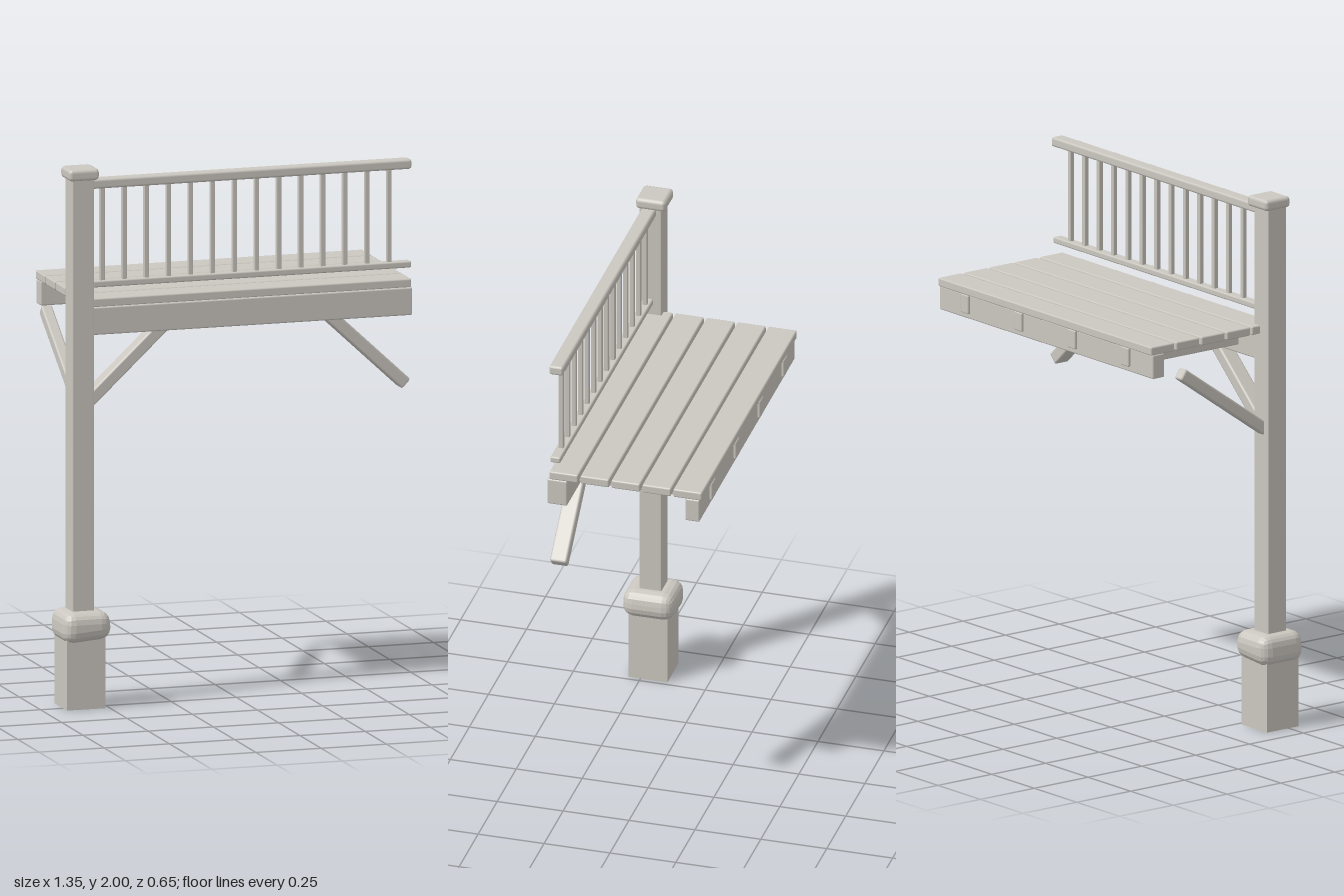
import * as THREE from 'three';
import { RoundedBoxGeometry } from 'three/addons/geometries/RoundedBoxGeometry.js';

export function createModel() {
  const group = new THREE.Group();
  group.name = 'balconySection';
  const wood = new THREE.MeshStandardMaterial({ color: 0xcbc7c0 });
  wood.name = 'paleTimber';

  // Softly bevelled box from its min and max corners
  function block(name, min, max, bevel = 0.006, segments = 1) {
    const a = new THREE.Vector3(...min), b = new THREE.Vector3(...max);
    const size = b.clone().sub(a);
    const geometry = bevel
      ? new RoundedBoxGeometry(size.x, size.y, size.z, segments, bevel)
      : new THREE.BoxGeometry(size.x, size.y, size.z);
    const mesh = new THREE.Mesh(geometry, wood);
    mesh.name = name;
    mesh.position.copy(a).add(b).multiplyScalar(0.5);
    group.add(mesh);
    return mesh;
  }

  // Diagonal strut between two points; width is measured across the plane it leans in
  function brace(name, from, to, width, depth) {
    const a = new THREE.Vector3(...from), b = new THREE.Vector3(...to);
    const dir = b.clone().sub(a);
    const leansInX = Math.abs(dir.x) > Math.abs(dir.z);
    const w = leansInX ? width : depth, d = leansInX ? depth : width;
    const mesh = new THREE.Mesh(new RoundedBoxGeometry(w, dir.length(), d, 1, 0.008), wood);
    mesh.name = name;
    mesh.position.copy(a).add(b).multiplyScalar(0.5);
    mesh.quaternion.setFromUnitVectors(new THREE.Vector3(0, 1, 0), dir.normalize());
    group.add(mesh);
  }

  // Post with its footing, worn collar and cap
  block('footing', [-0.664, 0, 0.148], [-0.516, 0.29, 0.296], 0);
  block('post', [-0.632, 0.3, 0.18], [-0.548, 1.97, 0.265], 0.004);
  block('postCap', [-0.646, 1.957, 0.16], [-0.53, 2, 0.275], 0.014);

  const collar = block('collar', [-0.678, 0.25, 0.124], [-0.493, 0.36, 0.32], 0.042, 2);
  const p = collar.geometry.attributes.position;
  for (let i = 0; i < p.count; i++) {
    // uneven underside, lower towards the outer side
    if (p.getY(i) < 0) p.setY(i, p.getY(i) - p.getX(i) * -0.08);
    else p.setX(i, p.getX(i) * 0.98);
  }
  collar.geometry.computeVertexNormals();

  // Deck frame
  block('frontBeam', [-0.57, 1.381, 0.185], [0.672, 1.484, 0.262]);
  block('backBeam', [-0.583, 1.393, -0.317], [0.672, 1.484, -0.262]);
  for (let i = 0; i < 4; i++) {
    const x = -0.428 + i * 0.314;
    block('joist', [x - 0.023, 1.413, -0.327], [x + 0.023, 1.484, 0.2], 0.005);
  }

  // Deck planks
  for (let i = 0; i < 5; i++) {
    const z = -0.325 + i * 0.1175;
    block('plank', [-0.583, 1.482, z], [0.67, 1.515, z + 0.109]);
  }

  // Railing
  block('topRail', [-0.56, 1.922, 0.201], [0.672, 1.958, 0.255], 0.009);
  block('bottomRail', [-0.56, 1.555, 0.211], [0.672, 1.579, 0.25], 0.006);
  for (let i = 0; i < 14; i++) {
    const x = -0.508 + i * 0.0845;
    block('baluster', [x - 0.009, 1.57, 0.221], [x + 0.009, 1.93, 0.239], 0.003);
  }

  // Diagonal braces
  brace('frontLeftBrace', [-0.57, 1.125, 0.222], [-0.275, 1.4, 0.222], 0.047, 0.064);
  brace('frontRightBrace', [0.345, 1.41, 0.222], [0.652, 1.124, 0.222], 0.047, 0.064);
  brace('sideBrace', [-0.587, 1.12, 0.2], [-0.587, 1.396, -0.194], 0.045, 0.043);

  return group;
}
